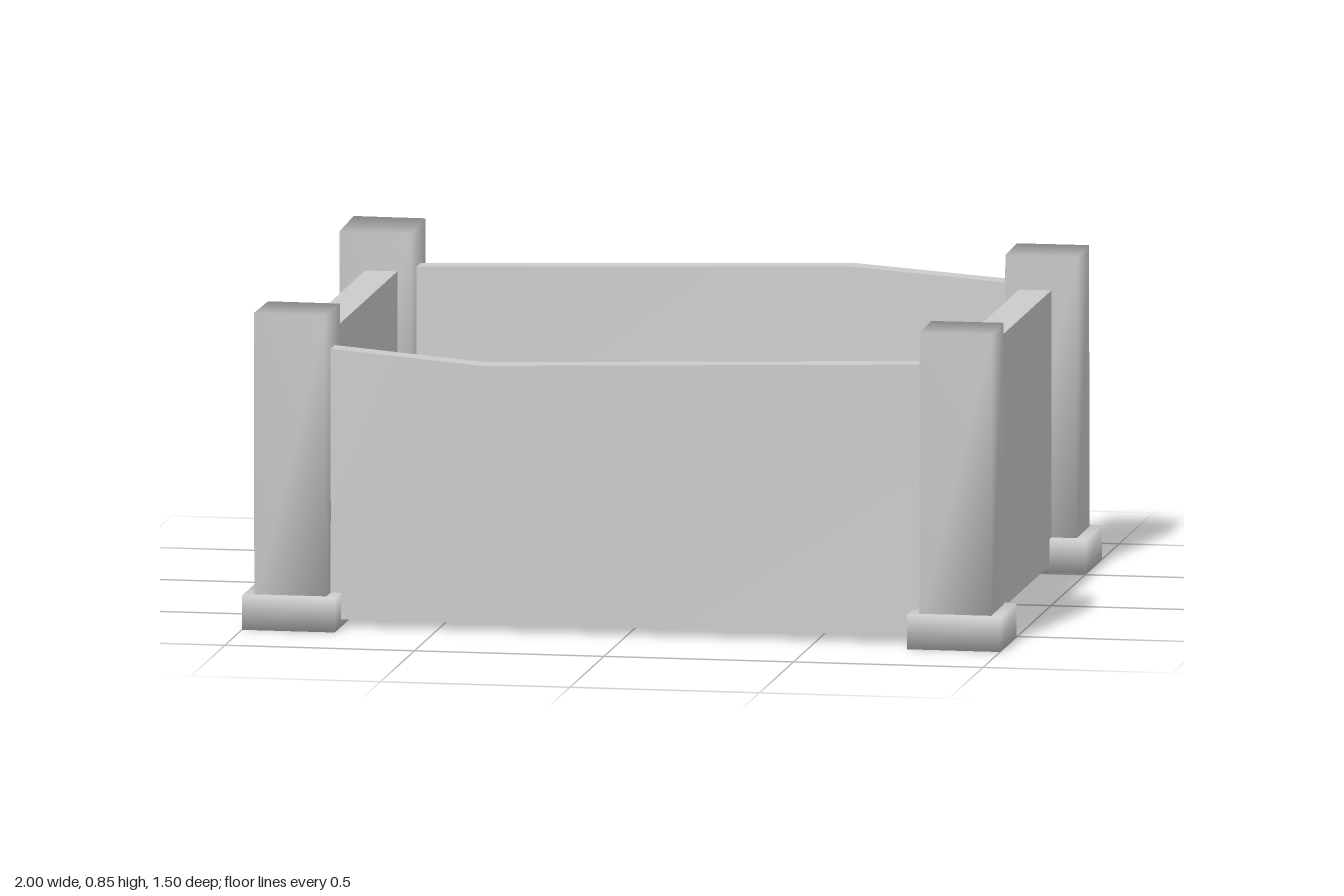
import * as THREE from 'three';
import { mergeVertices } from 'three/addons/utils/BufferGeometryUtils.js';

const material = new THREE.MeshStandardMaterial({ color: 0xcccccc });

function addMesh(group, name, geometry, x = 0, y = 0, z = 0) {
  const mesh = new THREE.Mesh(geometry, material);
  mesh.name = name;
  mesh.position.set(x, y, z);
  group.add(mesh);
}

// Move each vertex of a geometry by a rule
function reshape(geometry, rule) {
  const p = geometry.attributes.position;
  const v = new THREE.Vector3();
  for (let i = 0; i < p.count; i++) {
    rule(v.fromBufferAttribute(p, i));
    p.setXYZ(i, v.x, v.y, v.z);
  }
  geometry.computeVertexNormals();
  return geometry;
}

// Box whose corners share normals, so it shades as a soft block
function softBox(w, h, d) {
  const box = new THREE.BoxGeometry(w, h, d);
  box.deleteAttribute('normal');
  box.deleteAttribute('uv');
  const welded = mergeVertices(box);
  welded.computeVertexNormals();
  return welded;
}

// Long wall with one bend in its top edge; the bend lifts and leans outwards
function longWall(side, bendX, endY, bendY, lean) {
  const bottom = 0.02;
  const geometry = new THREE.BoxGeometry(1.72, 1, 0.06, 2, 1, 1);
  return reshape(geometry, (v) => {
    const middle = Math.abs(v.x) < 0.01;
    const top = v.y > 0;
    if (middle) v.x = bendX;
    v.y = top ? (middle ? bendY : endY) : bottom;
    v.z += side * (0.63 + (middle && top ? lean : 0));
  });
}

export function createModel() {
  const group = new THREE.Group();
  group.name = 'box';

  // Corner posts on square feet; the rear right post stands taller with a sloping top
  for (const sx of [-1, 1]) {
    for (const sz of [-1, 1]) {
      const label = (sz > 0 ? 'front' : 'back') + (sx > 0 ? 'Left' : 'Right');
      const tall = sx < 0 && sz < 0;
      addMesh(group, label + 'Foot', softBox(0.245, 0.09, 0.24), sx * 0.8775, 0.045, sz * 0.63);

      const post = reshape(softBox(0.19, 0.78, 0.19), (v) => {
        if (v.y < 0) return;
        if (tall) v.y += v.z < 0 ? 0.02 : 0.01;
        // slight twist of the top
        v.x += 0.02 * v.z * sx;
        v.z -= 0.02 * v.x * sx;
      });
      addMesh(group, label + 'Post', post, sx * 0.877, 0.44, sz * 0.628);
    }
  }

  // Short side walls
  for (const sx of [-1, 1]) {
    addMesh(group, sx > 0 ? 'leftWall' : 'rightWall',
      new THREE.BoxGeometry(0.085, 0.72, 1.26), sx * 0.8625, 0.38, 0);
  }

  // Crooked front and back walls
  addMesh(group, 'frontWall', longWall(1, -0.38, 0.738, 0.7, 0.012));
  addMesh(group, 'backWall', longWall(-1, 0.36, 0.74, 0.77, 0.035));

  // Floor board
  addMesh(group, 'floor', new THREE.BoxGeometry(1.7, 0.03, 1.24), 0, 0.0355, 0);

  return group;
}
